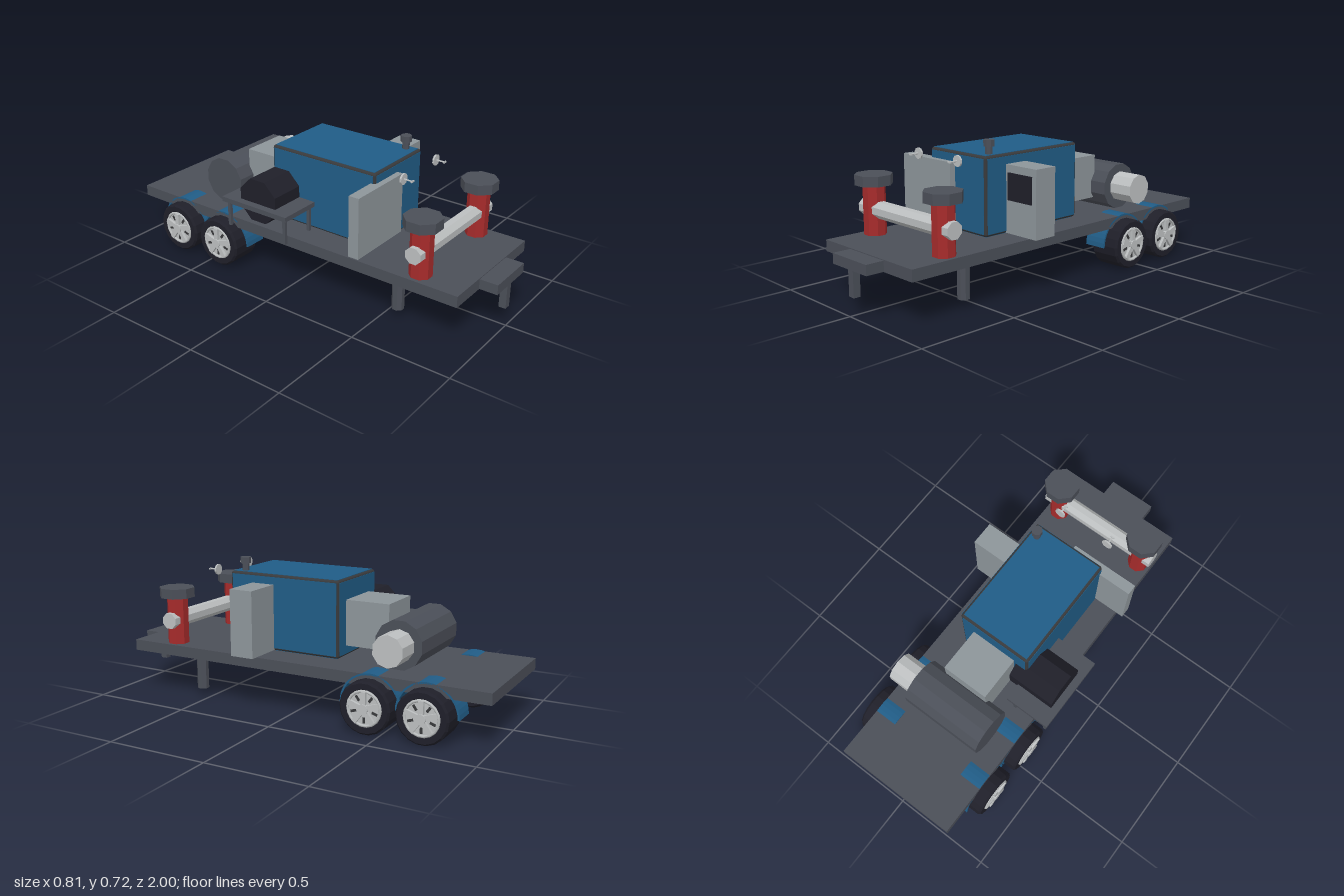
import * as THREE from 'three';
import { RoundedBoxGeometry } from 'three/addons/geometries/RoundedBoxGeometry.js';

const mat = (name, color) => Object.assign(new THREE.MeshStandardMaterial({ color }), { name });

export function createModel() {
  const root = new THREE.Group();
  root.name = 'equipmentTrailer';
  const steel = mat('dark steel', 0x4b4f58);
  const trim = mat('charcoal trim', 0x38393b);
  const blue = mat('blue paint', 0x205c86);
  const red = mat('red paint', 0xa62b2b);
  const grey = mat('grey panel', 0x8d959a);
  const light = mat('light metal', 0xbcbfc0);
  const black = mat('black rubber', 0x1f1f29);

  const CX = 0.01; // centre line of the trailer

  const add = (name, geo, material, x = 0, y = 0, z = 0, parent = root) => {
    const m = new THREE.Mesh(geo, material);
    m.name = name;
    m.position.set(x, y, z);
    parent.add(m);
    return m;
  };
  // faceted normals for low-poly round parts
  const flat = (g) => {
    const f = g.index ? g.toNonIndexed() : g;
    f.computeVertexNormals();
    return f;
  };
  // box given by its limits on each axis
  const box = (name, material, [x0, x1], [y0, y1], [z0, z1]) =>
    add(name, new THREE.BoxGeometry(x1 - x0, y1 - y0, z1 - z0), material, (x0 + x1) / 2, (y0 + y1) / 2, (z0 + z1) / 2);
  // upright faceted cylinder
  const post = (name, material, r, x, y0, y1, z, sides = 8) =>
    add(name, flat(new THREE.CylinderGeometry(r, r, y1 - y0, sides).rotateY(Math.PI / sides)), material, x, (y0 + y1) / 2, z);
  // faceted cylinder lying along x
  const roller = (name, material, r, x0, x1, y, z, sides = 8) =>
    add(name, flat(new THREE.CylinderGeometry(r, r, x1 - x0, sides).rotateY(Math.PI / sides).rotateZ(Math.PI / 2)),
      material, (x0 + x1) / 2, y, z);

  // deck and hitch
  box('deck', steel, [-0.31, 0.33], [0.213, 0.268], [-1, 0.91]);
  box('hitchPlate', steel, [-0.115, 0.135], [0.215, 0.264], [0.9, 1]);
  box('hitchLeg', steel, [-0.007, 0.028], [0.09, 0.22], [0.96, 0.995]);

  // engine housing: dark frame with blue panels
  const [ew, eh, ed] = [0.39, 0.375, 0.6];
  const engine = new THREE.Group();
  engine.name = 'engineHousing';
  engine.position.set(CX, 0.465, 0.094);
  root.add(engine);
  add('housingFrame', new RoundedBoxGeometry(ew, eh, ed, 2, 0.014), trim, 0, 0, 0, engine);
  const inset = 0.024, lift = 0.003;
  add('endPanels', new THREE.BoxGeometry(ew - inset, eh - inset, ed + lift), blue, 0, 0, 0, engine);
  add('sidePanels', new THREE.BoxGeometry(ew + lift, eh - inset, ed - inset), blue, 0, 0, 0, engine);
  add('topPanel', new THREE.BoxGeometry(ew - inset, eh + lift, ed - inset), blue, 0, 0, 0, engine);

  // exhaust
  post('exhaustPipe', steel, 0.018, 0.162, 0.64, 0.7, 0.333);
  post('exhaustCap', steel, 0.027, 0.162, 0.69, 0.72, 0.333);

  // radiator panel, gearbox, control cabinet
  box('frontPanel', grey, [-0.355, -0.004], [0.304, 0.604], [0.372, 0.426]);
  box('gearbox', grey, [-0.11, 0.13], [0.33, 0.552], [-0.43, -0.2]);
  box('controlCabinet', grey, [0.2, 0.4], [0.28, 0.604], [0.147, 0.268]);
  box('controlScreen', black, [0.225, 0.375], [0.44, 0.568], [0.268, 0.277]);

  // side platform with motor
  box('sidePlatform', steel, [-0.405, -0.17], [0.396, 0.42], [-0.345, 0.05]);
  for (const x of [-0.381, -0.2])
    for (const z of [-0.318, 0.025])
      box('platformLeg', steel, [x - 0.008, x + 0.008], [0.268, 0.4], [z - 0.008, z + 0.008]);
  roller('sideMotor', black, 0.116, -0.367, -0.12, 0.433, -0.15);

  // rear drum
  roller('rearDrum', steel, 0.118, -0.205, 0.222, 0.39, -0.52, 12);
  roller('drumHub', light, 0.076, 0.2, 0.35, 0.39, -0.524, 10);

  // front posts with crossbar, and jacks under the deck
  for (const s of [-1, 1]) {
    post('redPost', red, 0.054, CX + s * 0.252, 0.26, 0.507, 0.685);
    post('postCap', steel, 0.09, CX + s * 0.252, 0.505, 0.554, 0.685);
    post('jackLeg', steel, 0.03, CX + s * 0.227, 0.038, 0.23, 0.558);
  }
  roller('crossbar', light, 0.042, -0.315, 0.335, 0.39, 0.685);

  // gauges in front of the housing
  for (const s of [-1, 1]) {
    const gauge = new THREE.Group();
    gauge.name = 'gauge';
    gauge.position.set(CX + s * 0.139, 0.641, 0.508);
    root.add(gauge);
    add('gaugeDial', flat(new THREE.CylinderGeometry(0.027, 0.027, 0.009, 10).rotateX(Math.PI / 2)), light, 0, 0, 0, gauge);
    add('gaugeStem', flat(new THREE.CylinderGeometry(0.004, 0.004, 0.045, 6).rotateX(Math.PI / 2)), light, 0, 0, 0.026, gauge);
    add('gaugeKnob', new THREE.BoxGeometry(0.02, 0.008, 0.006), light, 0, 0, 0.047, gauge);
  }

  // wheels and fenders
  const profile = [[0, -0.08], [0.116, -0.08], [0.126, -0.07], [0.126, 0.07], [0.117, 0.08], [0.09, 0.08], [0.084, 0.066], [0, 0.066]];
  const tyreGeo = flat(new THREE.LatheGeometry(profile.map(([r, y]) => new THREE.Vector2(r, y)), 18).rotateZ(-Math.PI / 2));
  const disc = (r, w) => flat(new THREE.CylinderGeometry(r, r, w, 18).rotateZ(Math.PI / 2));
  const rimGeo = disc(0.084, 0.012);
  const hubGeo = disc(0.024, 0.03);
  const ringGeo = new THREE.TorusGeometry(0.081, 0.007, 6, 18).rotateY(Math.PI / 2);
  const arch = new THREE.Shape();
  arch.absarc(0, 0, 0.152, 0, Math.PI, false);
  arch.absarc(0, 0, 0.143, Math.PI, 0, true);
  const fenderGeo = new THREE.ExtrudeGeometry(arch, { depth: 0.115, bevelEnabled: false, curveSegments: 10 })
    .translate(0, 0, -0.0575).rotateY(Math.PI / 2);

  for (const s of [-1, 1])
    for (const z of [-0.432, -0.708]) {
      const wheel = new THREE.Group();
      wheel.name = 'wheel';
      wheel.position.set(CX + s * 0.3, 0.126, z);
      wheel.rotation.y = s > 0 ? 0 : Math.PI;
      root.add(wheel);
      add('tyre', tyreGeo, black, 0, 0, 0, wheel);
      add('rim', rimGeo, light, 0.07, 0, 0, wheel);
      add('rimRing', ringGeo, light, 0.078, 0, 0, wheel);
      add('hub', hubGeo, light, 0.08, 0, 0, wheel);
      for (let i = 0; i < 5; i++) {
        const a = (i / 5) * Math.PI * 2;
        const spoke = add('spoke', new THREE.BoxGeometry(0.018, 0.066, 0.024), light, 0.081, Math.cos(a) * 0.047, Math.sin(a) * 0.047, wheel);
        spoke.rotation.x = a;
        // dark opening between spokes
        const b = a + Math.PI / 5;
        const slot = add('rimOpening', new THREE.BoxGeometry(0.003, 0.028, 0.012), trim, 0.077, Math.cos(b) * 0.055, Math.sin(b) * 0.055, wheel);
        slot.rotation.x = b;
      }
      add('fender', fenderGeo, blue, CX + s * 0.2625, 0.122, z);
    }

  return root;
}
